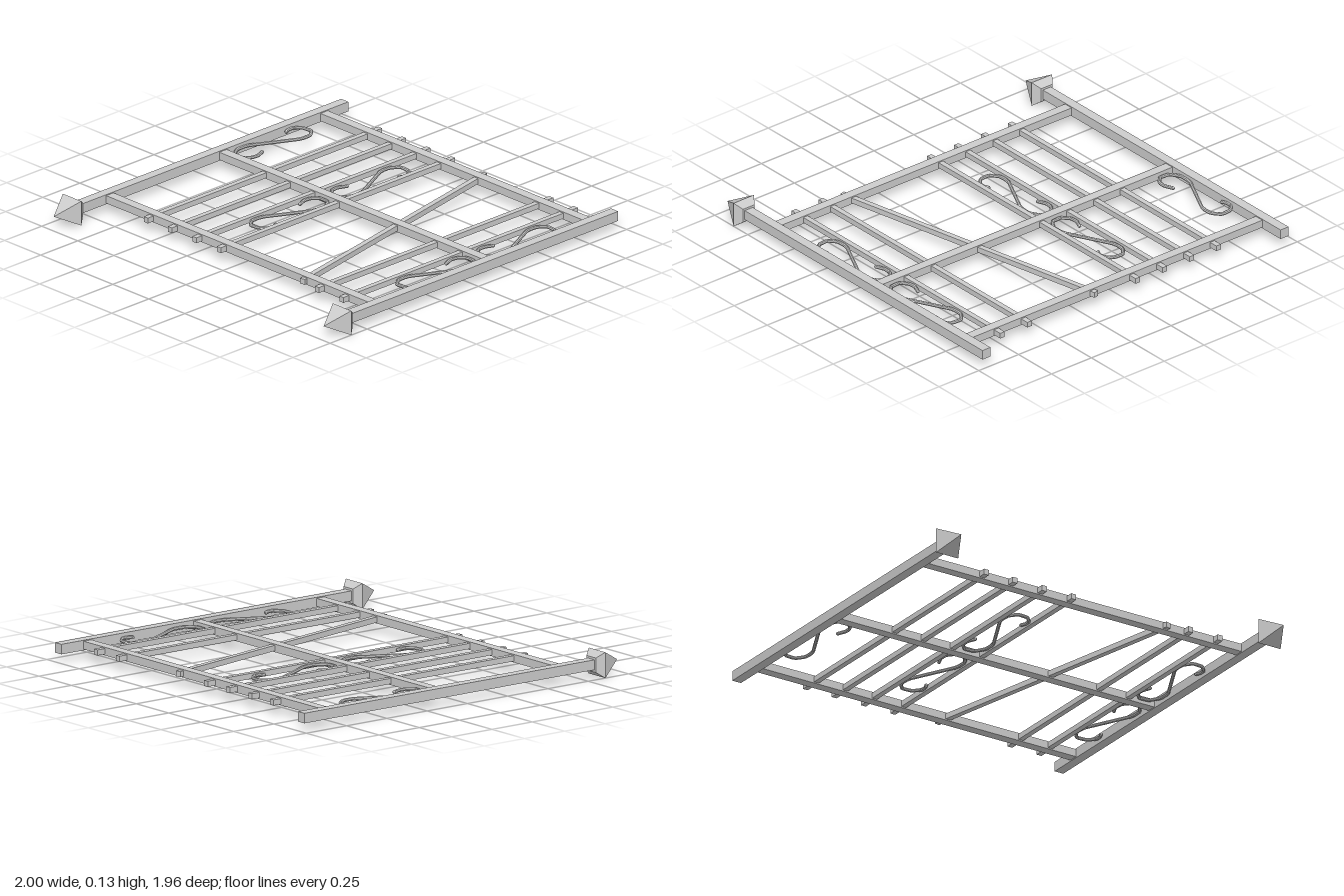
import * as THREE from 'three';

const MID = 0.064; // height of the panel's centre plane

export function createModel() {
  const group = new THREE.Group();
  const metal = new THREE.MeshStandardMaterial({ color: 0xcccccc, flatShading: true });

  const add = (name, geometry, x, z) => {
    const mesh = new THREE.Mesh(geometry, metal);
    mesh.name = name;
    mesh.position.set(x, MID, z);
    group.add(mesh);
    return mesh;
  };
  const box = (name, w, h, d, x, z) => add(name, new THREE.BoxGeometry(w, h, d), x, z);

  // Posts with four-sided spear caps
  const capProfile = [[0, 0.82], [0.036, 0.82], [0.064, 0.857], [0, 0.981]]
    .map(([half, z]) => new THREE.Vector2(half * Math.SQRT2, z));
  for (const x of [-0.936, 0.936]) {
    box('post', 0.05, 0.05, 1.805, x, -0.0785);
    const cap = new THREE.LatheGeometry(capProfile, 4, Math.PI / 4);
    add('postCap', cap.rotateX(Math.PI / 2), x, 0);
  }

  // Cross rails
  for (const z of [-0.818, -0.136, 0.627]) box('rail', 1.85, 0.04, 0.05, 0, z);

  // Straight bars
  for (const x of [-0.597, -0.43, -0.26, -0.09, 0.59, 0.76]) {
    box('bar', 0.028, 0.028, 1.58, x, -0.1);
  }

  // Slanted bar
  const from = new THREE.Vector2(0.152, -0.868);
  const to = new THREE.Vector2(0.472, 0.672);
  const slanted = box('slantedBar', 0.028, 0.028, from.distanceTo(to),
    (from.x + to.x) / 2, (from.y + to.y) / 2);
  slanted.rotation.y = Math.atan2(to.x - from.x, to.y - from.y);

  // S-shaped scrolls, flipped in x or z where needed
  const path = [
    [0.052, -0.142], [0.063, -0.165], [0.062, -0.195], [0.03, -0.231], [-0.025, -0.235],
    [-0.059, -0.195], [-0.062, -0.155], [-0.055, -0.118],
    [0.055, 0.1], [0.063, 0.135], [0.062, 0.18], [0.03, 0.231], [-0.025, 0.235],
    [-0.058, 0.2], [-0.062, 0.16], [-0.043, 0.114],
  ];
  const scroll = (x, z, flipX, flipZ) => {
    const points = path.map(([px, pz]) => new THREE.Vector3(px * flipX, 0, pz * flipZ));
    const curve = new THREE.CatmullRomCurve3(points, false, 'catmullrom', 0.1);
    const mesh = add('scroll', new THREE.TubeGeometry(curve, 64, 0.009, 8), x, z);
    // Close the two tube ends
    for (const t of [0, 1]) {
      const end = new THREE.Mesh(new THREE.SphereGeometry(0.009, 8, 6), metal);
      end.name = 'scrollEnd';
      end.position.copy(curve.getPoint(t));
      mesh.add(end);
    }
  };
  for (const x of [-0.173, 0.842]) {
    scroll(x, -0.41, 1, 1);
    scroll(x, 0.135, 1, -1);
  }
  scroll(-0.847, -0.41, -1, 1);

  return group;
}
